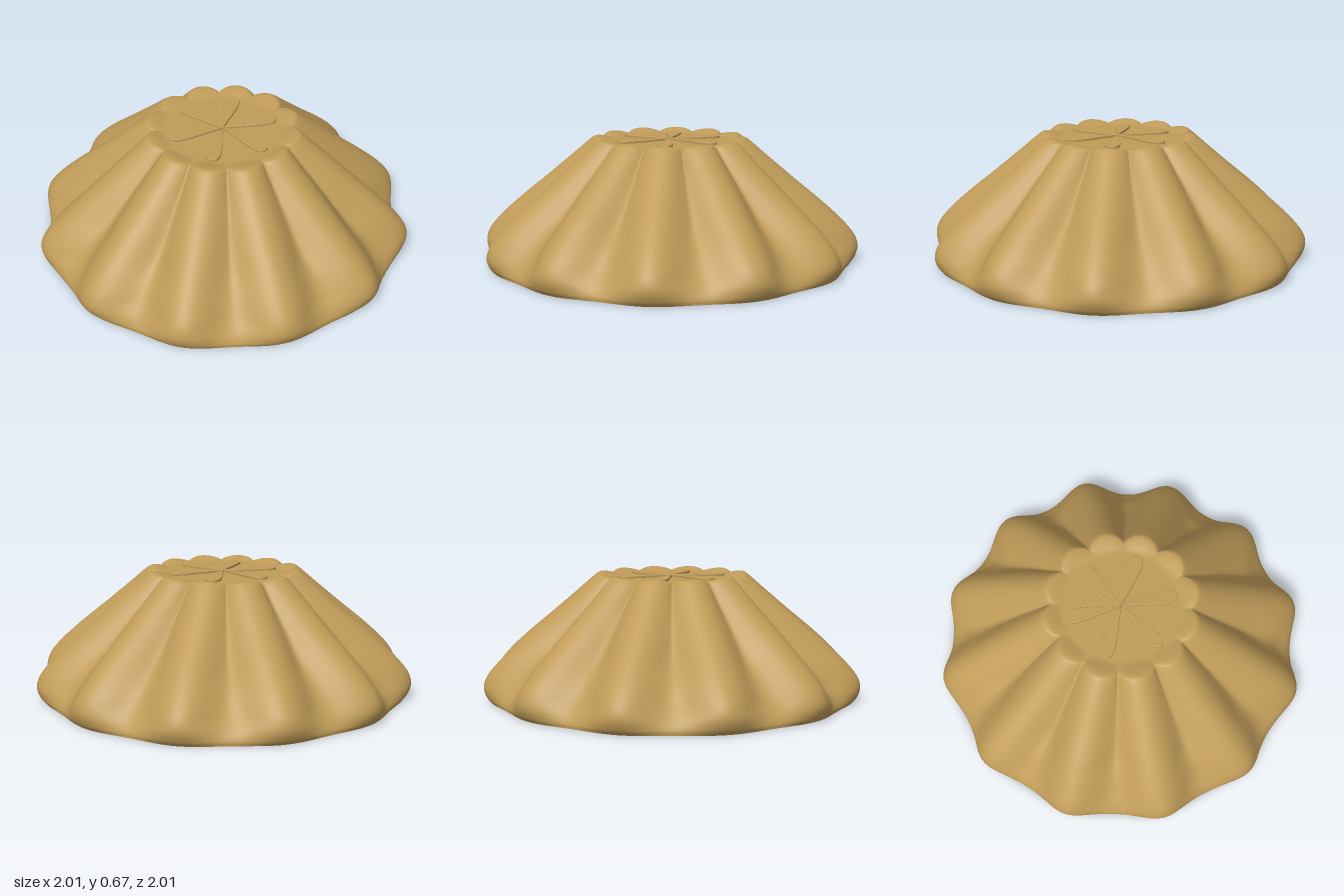
import * as THREE from 'three';

const LOBES = 12, SEGMENTS = 288;

// Smooth surface through rings: [lobe radius, lobe y, valley radius, valley y, lobe sharpness]
function flutedSurface(rings) {
  const pos = [], index = [];
  for (const [lr, ly, vr, vy, power] of rings) {
    for (let j = 0; j < SEGMENTS; j++) {
      const a = (j / SEGMENTS) * Math.PI * 2;
      const w = Math.pow(Math.abs(Math.sin((a * LOBES) / 2)), power);
      const r = vr + (lr - vr) * w;
      pos.push(r * Math.sin(a), vy + (ly - vy) * w, r * Math.cos(a));
    }
  }
  for (let i = 0; i < rings.length - 1; i++) {
    for (let j = 0; j < SEGMENTS; j++) {
      const k = (j + 1) % SEGMENTS;
      const a = i * SEGMENTS + j, b = i * SEGMENTS + k;
      const c = b + SEGMENTS, d = a + SEGMENTS;
      index.push(a, b, c, a, c, d);
    }
  }
  const geo = new THREE.BufferGeometry();
  geo.setAttribute('position', new THREE.Float32BufferAttribute(pos, 3));
  geo.setIndex(index);
  geo.computeVertexNormals();
  return geo;
}

// Refine key rings by running curves through the lobe and valley profiles
function refine(keys, steps) {
  const curve = (f) => new THREE.CatmullRomCurve3(keys.map(f), false, 'centripetal');
  const lobe = curve((k) => new THREE.Vector3(k[0], k[1], 0));
  const valley = curve((k) => new THREE.Vector3(k[2], k[3], 0));
  const rings = [];
  for (let i = 0; i <= steps; i++) {
    const t = i / steps, f = t * (keys.length - 1);
    const n = Math.min(Math.floor(f), keys.length - 2);
    const l = lobe.getPoint(t), v = valley.getPoint(t);
    rings.push([l.x, l.y, v.x, v.y, THREE.MathUtils.lerp(keys[n][4], keys[n + 1][4], f - n)]);
  }
  return rings;
}

export function createModel() {
  const model = new THREE.Group();
  const tan = new THREE.MeshStandardMaterial({ color: 0xbf9b58 });
  tan.name = 'warm tan';
  const add = (name, geo) => {
    const mesh = new THREE.Mesh(geo, tan);
    mesh.name = name;
    model.add(mesh);
    return mesh;
  };

  // Fluted sloping wall with its scalloped rim
  const wall = [
    [1.0, 0, 0.978, 0, 2],
    [1.02, 0.025, 0.978, 0.02, 2],
    [1.035, 0.075, 0.955, 0.06, 2],
    [1.02, 0.13, 0.9, 0.12, 2],
    [0.96, 0.205, 0.825, 0.2, 1.8],
    [0.84, 0.315, 0.71, 0.3, 1.5],
    [0.68, 0.445, 0.575, 0.44, 1.25],
    [0.53, 0.57, 0.455, 0.56, 1],
    [0.435, 0.65, 0.38, 0.635, 0.8],
    [0.415, 0.663, 0.365, 0.645, 0.8],
    [0.395, 0.665, 0.355, 0.646, 0.9],
    [0.36, 0.658, 0.342, 0.645, 1],
    [0.32, 0.645, 0.32, 0.644, 1],
    [0.3, 0.643, 0.3, 0.643, 1],
  ];
  add('flutedWall', flutedSurface(refine(wall, 78)));

  // Flat top and underside
  add('topDish', flutedSurface([[0.3, 0.643, 0.3, 0.643, 1], [0, 0.643, 0, 0.643, 1]]));
  add('underside', flutedSurface([[0, 0, 0, 0, 2], [1.0, 0, 0.978, 0, 2]]));

  // Six raised teardrop petals meeting in the centre
  const outline = new THREE.Shape();
  outline.moveTo(0, 0);
  outline.bezierCurveTo(0.1, 0.012, 0.18, 0.038, 0.25, 0.038);
  outline.bezierCurveTo(0.318, 0.038, 0.318, -0.038, 0.25, -0.038);
  outline.bezierCurveTo(0.18, -0.038, 0.1, -0.012, 0, 0);
  const petalGeo = new THREE.ExtrudeGeometry(outline, {
    depth: 0.008, curveSegments: 16,
    bevelEnabled: true, bevelThickness: 0.004, bevelSize: 0.004, bevelOffset: -0.002, bevelSegments: 3,
  });
  petalGeo.rotateX(-Math.PI / 2);
  for (let i = 0; i < 6; i++) {
    const petal = add('petal', petalGeo);
    petal.position.y = 0.644;
    petal.rotation.y = THREE.MathUtils.degToRad(15 + i * 60);
  }
  return model;
}
